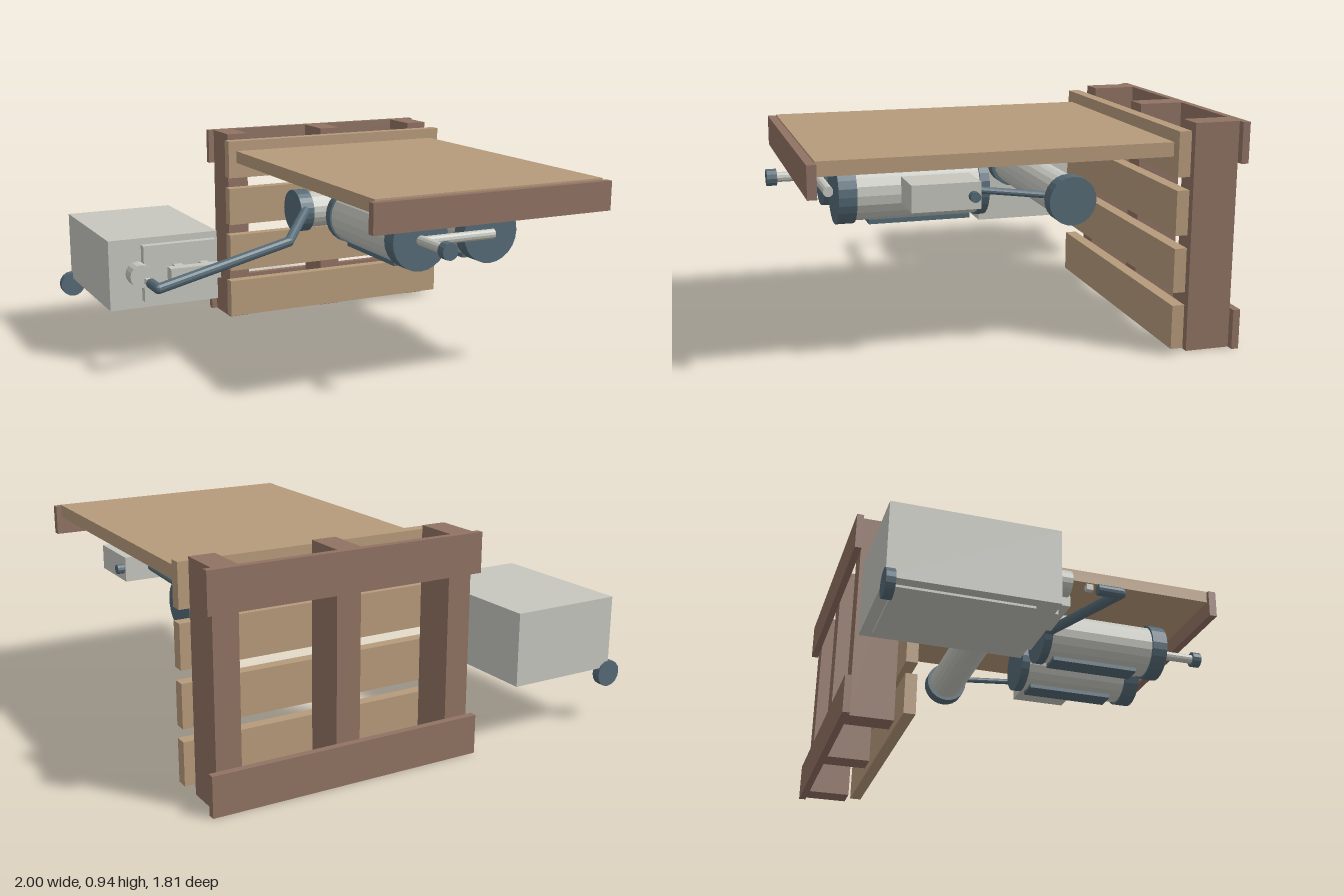
import * as THREE from 'three';

const mat = (name, color, flat = false) => {
  const m = new THREE.MeshStandardMaterial({ color, flatShading: flat });
  m.name = name;
  return m;
};

export function createModel() {
  const model = new THREE.Group();
  model.name = 'workbenchWithPump';
  const tan = mat('tanWood', 0xb79b7b);
  const brown = mat('brownWood', 0x907263);
  const grey = mat('lightGrey', 0xc6c7bf, true);
  const steel = mat('darkSteel', 0x566b77, true);

  const add = (name, geo, material, parent = model) => {
    const m = new THREE.Mesh(geo, material);
    m.name = name;
    parent.add(m);
    return m;
  };
  // Box given by its extents on each axis
  const box = (name, material, [x0, x1], [y0, y1], [z0, z1], parent) => {
    const m = add(name, new THREE.BoxGeometry(x1 - x0, y1 - y0, z1 - z0), material, parent);
    m.position.set((x0 + x1) / 2, (y0 + y1) / 2, (z0 + z1) / 2);
    return m;
  };
  // Cylinder between two points
  const rod = (name, material, a, b, r, sides = 20, parent) => {
    const p = new THREE.Vector3(...a), q = new THREE.Vector3(...b);
    const d = q.clone().sub(p);
    const m = add(name, new THREE.CylinderGeometry(r, r, d.length(), sides), material, parent);
    m.position.copy(p).add(q).multiplyScalar(0.5);
    m.quaternion.setFromUnitVectors(new THREE.Vector3(0, 1, 0), d.normalize());
    return m;
  };
  // Bent pipe: straight rods with round joints
  const pipe = (name, material, pts, r) => {
    const g = new THREE.Group();
    g.name = name;
    model.add(g);
    pts.slice(1).forEach((p, i) => {
      rod(name + 'Segment', material, pts[i], p, r, 12, g);
      if (i > 0) add(name + 'Joint', new THREE.SphereGeometry(r, 12, 8), material, g).position.set(...pts[i]);
    });
  };

  // Upright pallet: slats, posts and back boards
  const palletX = [-0.205, 0.995];
  for (let i = 0; i < 4; i++) {
    const y = 0.033 + i * 0.2365;
    box('palletSlat', tan, palletX, [y, y + 0.183], [-0.652, -0.6]);
  }
  for (const x of [-0.177, 0.341, 0.858]) {
    box('palletPost', brown, [x, x + 0.106], [0.005, 0.95], [-0.874, -0.684]);
  }
  for (const y of [0.005, 0.782]) {
    box('palletBackBoard', brown, palletX, [y, y + 0.168], [-0.905, -0.874]);
  }

  // Table top and front fascia
  box('tableTop', tan, [-0.165, 0.95], [0.818, 0.876], [-0.6, 0.818]);
  box('frontFascia', brown, [-0.187, 0.973], [0.738, 0.868], [0.815, 0.852]);

  // Pair of tanks under the table
  for (const x of [0.136, 0.481]) {
    const g = new THREE.Group();
    g.name = 'tank';
    g.position.set(x, 0.653, 0);
    model.add(g);
    rod('tankBody', grey, [0, 0, 0.08], [0, 0, 0.61], 0.122, 20, g);
    rod('tankFrontCap', steel, [0, 0, 0.6], [0, 0, 0.675], 0.133, 24, g);
    rod('tankRearCap', steel, [0, 0, 0.05], [0, 0, 0.09], 0.13, 24, g);
    box('tankFoot', steel, [-0.05, 0.05], [-0.134, -0.115], [0.115, 0.54], g);
  }

  // Pipe linking the tanks, with its outlet and knob
  rod('linkPipe', grey, [0.136, 0.653, 0.695], [0.481, 0.653, 0.695], 0.022, 12);
  rod('outletPipe', grey, [0.136, 0.653, 0.67], [0.136, 0.653, 0.865], 0.022, 12);
  rod('outletKnob', steel, [0.136, 0.653, 0.862], [0.136, 0.653, 0.905], 0.037, 12);

  // Motor lying across, behind the tanks
  const my = 0.63, mz = -0.235;
  rod('motorBody', grey, [0.03, my, mz], [0.76, my, mz], 0.085);
  rod('motorCap', steel, [-0.027, my, mz], [0.04, my, mz], 0.1, 24);
  rod('motorCap', steel, [0.75, my, mz], [0.815, my, mz], 0.1, 24);

  // Switch box with button and cable
  box('switchBox', grey, [0.713, 0.885], [0.643, 0.75], [0.17, 0.445]);
  rod('switchButton', steel, [0.88, 0.695, 0.2], [0.915, 0.695, 0.2], 0.021, 12);
  pipe('switchCable', steel, [[0.77, 0.695, 0.18], [0.71, 0.638, -0.16]], 0.014);

  // Long pipe from the motor to the side cabinet
  pipe('supplyPipe', steel, [
    [0.0, 0.645, -0.15], [-0.165, 0.545, 0.02], [-0.81, 0.415, 0.085], [-0.81, 0.415, -0.015],
  ], 0.023);
  box('pipePin', grey, [-0.823, -0.799], [0.403, 0.428], [-0.066, -0.037]);

  // Side cabinet: body, front panel, handle, port, base and wheel
  box('cabinetBody', grey, [-0.94, -0.425], [0.253, 0.575], [-0.897, -0.213]);
  box('cabinetPanel', grey, [-0.79, -0.445], [0.287, 0.545], [-0.215, -0.175]);
  box('handleBar', grey, [-0.692, -0.455], [0.385, 0.45], [-0.14, -0.088]);
  for (const x of [-0.655, -0.53]) {
    box('handleLeg', grey, [x, x + 0.04], [0.385, 0.45], [-0.178, -0.138]);
  }
  rod('cabinetPort', grey, [-0.812, 0.417, -0.22], [-0.812, 0.417, -0.138], 0.053, 16);
  box('cabinetBase', grey, [-0.89, -0.475], [0.243, 0.256], [-0.85, -0.3]);
  rod('cabinetWheel', steel, [-0.941, 0.223, -0.905], [-0.941, 0.223, -0.868], 0.059, 16);

  return model;
}
